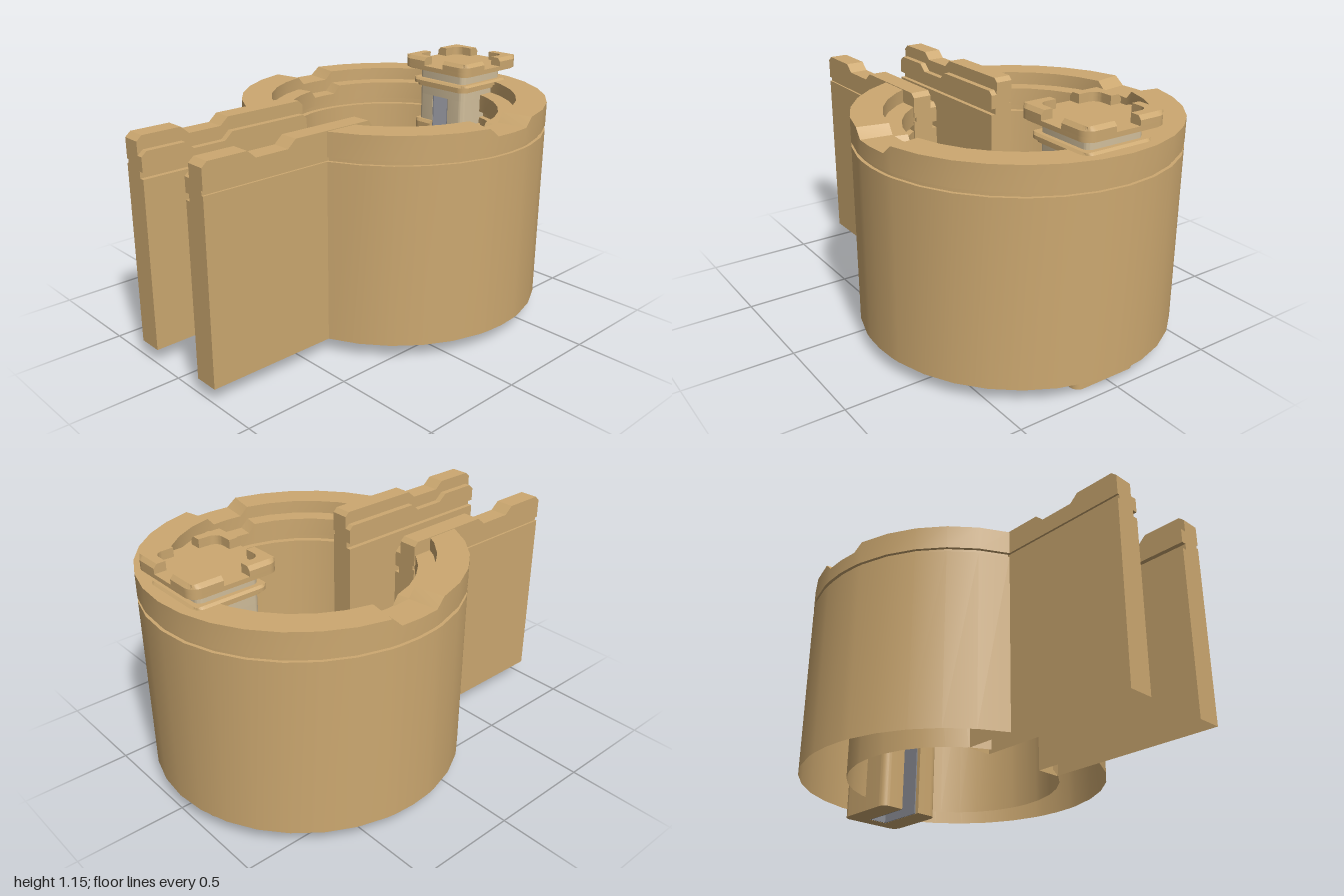
import * as THREE from 'three';
import { toCreasedNormals } from 'three/addons/utils/BufferGeometryUtils.js';

const ZC = -0.28;   // ring centre
const ZP = -0.765;  // post centre
const DEG = Math.PI / 180;

const mat = (name, color, side = THREE.FrontSide) => {
  const m = new THREE.MeshStandardMaterial({ color, side });
  m.name = name;
  return m;
};

// Sweep an open profile through stations; upper profile points sink by each station's drop.
function loft(profile, stations, place, capped) {
  const pos = [], idx = [], n = profile.length;
  for (const s of stations)
    for (const [a, y] of profile) pos.push(...place(a, y > 0.95 ? y - s.drop : y, s.t));
  for (let i = 0; i < stations.length - 1; i++)
    for (let j = 0; j < n - 1; j++) {
      const a = i * n + j, b = a + 1, c = a + n, d = c + 1;
      idx.push(a, b, c, b, d, c);
    }
  if (capped) {
    const faces = THREE.ShapeUtils.triangulateShape(profile.map(p => new THREE.Vector2(...p)), []);
    const o = (stations.length - 1) * n;
    for (const [a, b, c] of faces) idx.push(a, c, b, o + a, o + b, o + c);
  }
  const g = new THREE.BufferGeometry();
  g.setAttribute('position', new THREE.Float32BufferAttribute(pos, 3));
  g.setIndex(idx);
  return toCreasedNormals(g, 0.4);
}

// Rounded square, optionally with a slot open at the front.
function squareShape(h, r, slot) {
  const s = new THREE.Shape();
  s.moveTo(h, -h + r);
  s.lineTo(h, h - r);
  s.absarc(h - r, h - r, r, 0, 90 * DEG);
  s.lineTo(-h + r, h);
  s.absarc(-h + r, h - r, r, 90 * DEG, 180 * DEG);
  s.lineTo(-h, -h + r);
  s.absarc(-h + r, -h + r, r, 180 * DEG, 270 * DEG);
  if (slot) {
    s.lineTo(-slot, -h);
    s.lineTo(-slot, 0.1);
    s.lineTo(slot, 0.1);
    s.lineTo(slot, -h);
  }
  s.lineTo(h - r, -h);
  s.absarc(h - r, -h + r, r, 270 * DEG, 360 * DEG);
  return s;
}

// Upright extrusion; the outer top edge can be pulled in to form a chamfer.
function upright(shape, y0, y1, limit) {
  const g = new THREE.ExtrudeGeometry(shape, { depth: y1 - y0, bevelEnabled: false, curveSegments: 5 });
  g.rotateX(-Math.PI / 2);
  if (limit) {
    const p = g.attributes.position;
    for (let i = 0; i < p.count; i++)
      if (p.getY(i) > (y1 - y0) / 2) {
        p.setX(i, THREE.MathUtils.clamp(p.getX(i), -limit, limit));
        p.setZ(i, THREE.MathUtils.clamp(p.getZ(i), -limit, limit));
      }
  }
  g.translate(0, y0, 0);
  return toCreasedNormals(g, 0.5);
}

export function createModel() {
  const model = new THREE.Group();
  model.name = 'clampRing';
  const tan = mat('tan', 0xcca870, THREE.DoubleSide);
  const beige = mat('beige', 0xd2bf9c);
  const gray = mat('gray', 0x8c8e96);
  const add = (parent, name, geo, material) => {
    const m = new THREE.Mesh(geo, material);
    m.name = name;
    parent.add(m);
    return m;
  };

  // Open ring, hollow from below, with an outer groove, inner ledge and two side notches
  const ringProfile = [
    [0.72, 0.07], [0.72, 0.9], [0.705, 0.9], [0.705, 0.92], [0.72, 0.92], [0.72, 1.03],
    [0.58, 1.03], [0.58, 0.97], [0.5, 0.97], [0.5, 0.885], [0.53, 0.885], [0.53, 0.855],
    [0.5, 0.855], [0.5, 0.07],
  ];
  const angles = [82.4, 97.6, 262.4, 277.6];
  for (let i = 0; i <= 28; i++) angles.push(22.5 + i * 11.25);
  angles.sort((a, b) => b - a);
  const ringStations = angles.map(t => ({
    t: t * DEG,
    drop: Math.min(Math.abs(t - 90), Math.abs(t - 270)) < 8 ? 0.04 : 0,
  }));
  add(model, 'ring', loft(ringProfile, ringStations,
    (r, y, t) => [r * Math.sin(t), y, ZC + r * Math.cos(t)], false), tan);

  // Two straight jaws running forward from the ring opening
  const jawProfile = [
    [0.275, 0.07], [0.275, 0.9], [0.265, 0.9], [0.265, 0.92], [0.275, 0.92], [0.275, 1.033],
    [0.187, 1.033], [0.187, 0.973], [0.157, 0.973], [0.157, 0.885], [0.18, 0.885], [0.18, 0.855],
    [0.157, 0.855], [0.157, 0.07],
  ];
  const jawStations = [
    [0.13, 0.02], [0.15, 0], [0.55, 0], [0.59, 0.035], [0.75, 0.035], [0.79, 0], [0.975, 0], [1, 0.022],
  ].map(([t, drop]) => ({ t, drop }));
  const jawGeo = loft(jawProfile, jawStations, (x, y, z) => [x, y, z], true);
  add(model, 'leftJaw', jawGeo, tan);
  add(model, 'rightJaw', jawGeo, tan).scale.x = -1;

  // Slotted post at the back of the ring
  const post = new THREE.Group();
  post.name = 'post';
  post.position.z = ZP;
  model.add(post);
  add(post, 'postBody', upright(squareShape(0.165, 0.04, 0.05), 0, 0.81), tan);
  add(post, 'postShoulder', upright(squareShape(0.165, 0.04, 0.05), 0.81, 0.825, 0.155), tan);
  add(post, 'upperPost', upright(squareShape(0.145, 0.03, 0.05), 0.825, 0.955), beige);
  add(post, 'neck', upright(squareShape(0.145, 0.03), 0.955, 1.095), beige);

  // Slot lining
  for (const s of [-1, 1]) {
    const side = new THREE.BoxGeometry(0.006, 0.953, 0.243);
    side.translate(s * 0.0475, 0.4775, 0.0215);
    add(post, s > 0 ? 'slotLeftWall' : 'slotRightWall', side, gray);
  }
  const back = new THREE.BoxGeometry(0.1, 0.953, 0.006);
  back.translate(0, 0.4775, -0.098);
  add(post, 'slotBackWall', back, gray);

  // Collar under the cap
  add(post, 'collarBase', upright(squareShape(0.16, 0.04), 1.0, 1.015), tan);
  add(post, 'collar', upright(squareShape(0.175, 0.045), 1.015, 1.03), tan);
  add(post, 'collarTop', upright(squareShape(0.175, 0.045), 1.03, 1.04, 0.165), tan);

  // Cap plate with four raised corner brackets
  add(post, 'capUnderside', upright(squareShape(0.196, 0.045), 1.09, 1.096), tan);
  add(post, 'capPlate', upright(squareShape(0.205, 0.05), 1.096, 1.115), tan);
  const corner = new THREE.Shape();
  corner.moveTo(0.205, 0.06);
  corner.lineTo(0.205, 0.155);
  corner.absarc(0.155, 0.155, 0.05, 0, 90 * DEG);
  corner.lineTo(0.06, 0.205);
  corner.lineTo(0.06, 0.15);
  corner.lineTo(0.11, 0.15);
  corner.absarc(0.11, 0.11, 0.04, 90 * DEG, 0, true);
  corner.lineTo(0.15, 0.06);
  const lower = upright(corner, 1.115, 1.138);
  const upper = upright(corner, 1.138, 1.155, 0.19);
  for (let i = 0; i < 4; i++) {
    const bracket = new THREE.Group();
    bracket.name = 'capCorner';
    bracket.rotation.y = i * Math.PI / 2;
    add(bracket, 'cornerBase', lower, tan);
    add(bracket, 'cornerChamfer', upper, tan);
    post.add(bracket);
  }
  return model;
}
